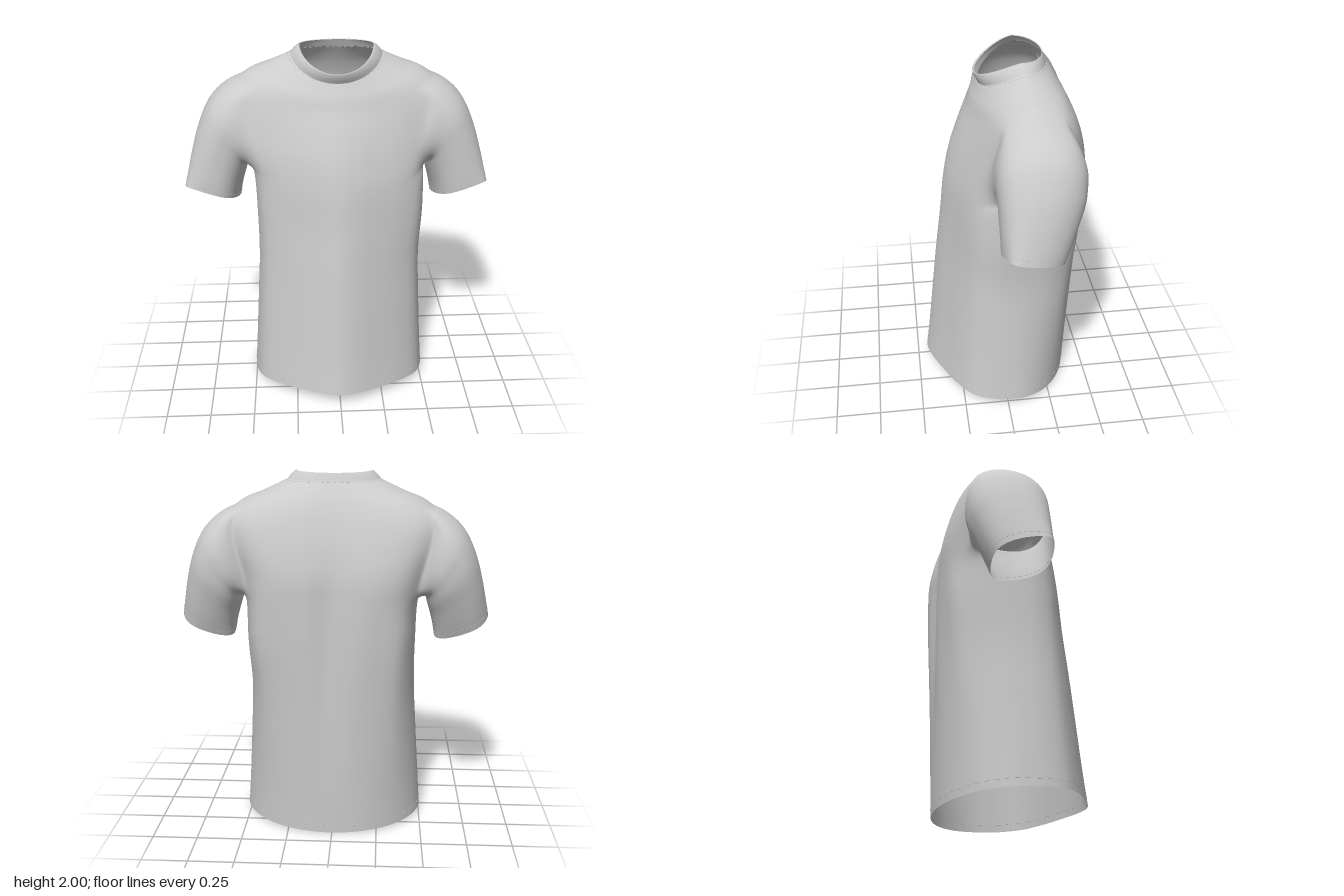
import * as THREE from 'three';
import { mergeGeometries } from 'three/addons/utils/BufferGeometryUtils.js';

const cloth = new THREE.MeshStandardMaterial({ color: 0xcccccc, side: THREE.DoubleSide });
const SIDES = 96, ROWS = 88, SLEEVE_ROWS = 44;
// Armhole: a block of the body grid, from row LOW to row HIGH, REACH columns either side
const LOW = 41, HIGH = 70, REACH = 9;

// Smooth interpolation through a list of key rows, t in 0..1
function sampleKeys(keys, t) {
  const f = t * (keys.length - 1);
  const i = Math.min(Math.floor(f), keys.length - 2);
  const k = (n) => keys[Math.max(0, Math.min(keys.length - 1, n))];
  const s = f - i;
  return keys[i].map((b, c) => {
    const a = k(i - 1)[c], d = k(i + 1)[c], e = k(i + 2)[c];
    return b + 0.5 * s * (d - a + s * (2 * a - 5 * b + 4 * d - e + s * (3 * (b - d) + e - a)));
  });
}

// Row of small dashes following one ring of a surface
function stitches(point, t, count) {
  const dashes = [];
  for (let j = 0; j < count; j += 2) {
    const line = new THREE.LineCurve3(point(t, j), point(t, (j + 1) % count));
    dashes.push(new THREE.TubeGeometry(line, 1, 0.002, 4));
  }
  return mergeGeometries(dashes);
}

// Body outline: peaked front, full sides, broad back with a shallow spine hollow
const half = [[0.2, 0.95], [0.42, 0.84], [0.7, 0.67], [0.9, 0.48], [0.985, 0.24], [1, 0],
  [0.99, -0.3], [0.95, -0.62], [0.83, -0.87], [0.57, -0.99], [0.26, -0.985]];
const outline = new THREE.CatmullRomCurve3(
  [[0, 1], ...half, [0, -0.94], ...half.map(([u, v]) => [-u, v]).reverse()]
    .map(([u, v]) => new THREE.Vector3(u, v, 0)), true);
const outlinePoints = Array.from({ length: SIDES }, (_, j) => outline.getPoint(j / SIDES));

// Key row: halfWidth, xShift, zFront, zSide, zBack, yFront, ySide, yBack,
// then roundness of the front and of the back
function bodyPoint(keys) {
  return (t, j) => {
    const [w, xs, zf, zs, zb, yf, ys, yb, roundFront, roundBack] = sampleKeys(keys, t);
    const a = (j / SIDES) * Math.PI * 2;
    const p = outlinePoints[j];
    const round = p.y > 0 ? roundFront : roundBack;
    const u = THREE.MathUtils.lerp(p.x, Math.sin(a), round);
    const v = THREE.MathUtils.lerp(p.y, Math.cos(a), round);
    const y = ys + Math.pow(Math.abs(v), 1.3) * ((v > 0 ? yf : yb) - ys);
    let z = zs + v * (v > 0 ? zf - zs : zs - zb);
    // soft vertical drape folds in the back
    if (v < 0) z += 0.006 * v * v * Math.cos(u * 11) * Math.exp(-(((y - 1) / 0.45) ** 2));
    return new THREE.Vector3(xs + u * w, y, z);
  };
}

const torsoKeys = [
  [0.512, 0.007, 0.445, -0.03, -0.40, 0.07, 0.03, 0.0, 0, 1],
  [0.497, 0.007, 0.42, -0.03, -0.41, 0.27, 0.25, 0.22, 0, 0.9],
  [0.48, 0.008, 0.39, -0.03, -0.42, 0.55, 0.53, 0.5, 0, 0.7],
  [0.466, 0.01, 0.36, -0.025, -0.43, 0.82, 0.8, 0.8, 0, 0.45],
  [0.472, 0.016, 0.33, -0.02, -0.437, 1.06, 1.06, 1.06, 0, 0.2],
  [0.478, 0.012, 0.305, -0.015, -0.44, 1.28, 1.3, 1.3, 0, 0.05],
  [0.50, 0, 0.27, -0.04, -0.437, 1.44, 1.46, 1.46, 0, 0],
  [0.55, 0, 0.22, -0.09, -0.41, 1.58, 1.61, 1.61, 0, 0],
  [0.575, 0, 0.172, -0.115, -0.37, 1.69, 1.74, 1.74, 0.05, 0.05],
  [0.51, 0, 0.148, -0.125, -0.33, 1.755, 1.84, 1.83, 0.25, 0.25],
  [0.38, 0, 0.125, -0.12, -0.29, 1.8, 1.895, 1.895, 0.6, 0.6],
  [0.25, 0, 0.105, -0.11, -0.25, 1.84, 1.955, 1.95, 1, 1],
];
const collarKeys = [
  [0.252, 0, 0.108, -0.11, -0.252, 1.835, 1.953, 1.947, 1, 1],
  [0.232, 0, 0.124, -0.105, -0.24, 1.865, 1.978, 1.975, 1, 1],
  [0.208, 0, 0.131, -0.10, -0.232, 1.89, 1.998, 1.992, 1, 1],
  [0.2, 0, 0.12, -0.10, -0.228, 1.888, 1.996, 1.99, 1, 1],
];

// Sleeve key row: outer x, y, inner x, y, zFront, zBack, hem slant, forward skew;
// armhole first
const sleeveKeys = [
  [0.54, 1.825, 0.485, 1.345, 0.125, -0.395, 0, 0],
  [0.64, 1.775, 0.50, 1.335, 0.095, -0.385, 0, 0],
  [0.72, 1.67, 0.505, 1.315, 0.083, -0.37, 0, 0],
  [0.775, 1.545, 0.515, 1.28, 0.078, -0.355, 0, 0.01],
  [0.812, 1.42, 0.53, 1.23, 0.075, -0.32, 0.01, 0.02],
  [0.838, 1.31, 0.545, 1.17, 0.073, -0.285, 0.02, 0.035],
  [0.86, 1.215, 0.555, 1.112, 0.07, -0.25, 0.03, 0.05],
];

// Armhole loop as [row, column offset]: over the top, down the front, under, up the back
const armhole = [];
let cell = [HIGH, 0];
for (const [dr, dc, n] of [[0, 1, REACH], [-1, 0, HIGH - LOW], [0, -1, 2 * REACH],
  [1, 0, HIGH - LOW], [0, 1, REACH]]) {
  for (let k = 0; k < n; k++) {
    armhole.push(cell);
    cell = [cell[0] + dr, cell[1] + dc];
  }
}
const LOOP = armhole.length;

// Loop position to angle, so armhole corners fall on the sleeve's diagonals
function loopAngle(k) {
  const stops = [0, REACH, REACH + HIGH - LOW, LOOP - REACH - HIGH + LOW, LOOP - REACH, LOOP];
  const turns = [0, 0.11, 0.39, 0.61, 0.89, 1];
  const i = Math.max(0, stops.findIndex((s) => s > k) - 1);
  return Math.PI * 2 * THREE.MathUtils.mapLinear(k, stops[i], stops[i + 1], turns[i], turns[i + 1]);
}

function sleevePoint(side) {
  const soft = (n) => Math.sign(n) * Math.pow(Math.abs(n), 0.85);
  return (t, k) => {
    const [ox, oy, ix, iy, zf, zb, slant, skew] = sampleKeys(sleeveKeys, t);
    const c = soft(Math.cos(loopAngle(k))), s = soft(Math.sin(loopAngle(k)));
    return new THREE.Vector3(
      side * ((ox + ix) / 2 + (c * (ox - ix)) / 2),
      (oy + iy) / 2 + (c * (oy - iy)) / 2 + slant * s,
      (zf + zb) / 2 + (s * (zf - zb)) / 2 + skew * c * (1 - s * s));
  };
}

// Relax vertices towards their neighbours, each by its own weight
function relax(points, weights, index, passes) {
  const near = points.map(() => new Set());
  for (let i = 0; i < index.length; i += 3) {
    const tri = index.slice(i, i + 3);
    for (const a of tri) for (const b of tri) if (a !== b) near[a].add(b);
  }
  for (let n = 0; n < passes; n++) {
    const old = points.map((p) => p.clone());
    points.forEach((p, i) => {
      if (!weights[i] || !near[i].size) return;
      const mean = new THREE.Vector3();
      near[i].forEach((b) => mean.add(old[b]));
      p.lerp(mean.divideScalar(near[i].size), 0.6 * weights[i]);
    });
  }
}

export function createModel() {
  const shirt = new THREE.Group();
  shirt.name = 'tShirt';
  const add = (name, geometry) => {
    const mesh = new THREE.Mesh(geometry, cloth);
    mesh.name = name;
    shirt.add(mesh);
  };
  const quad = (list, a, b, c, d) => list.push(a, b, c, a, c, d);
  const torso = bodyPoint(torsoKeys);
  const points = [], weights = [];
  const parts = { torso: [], leftSleeve: [], rightSleeve: [] };

  // Body grid, leaving out the armholes
  for (let i = 0; i <= ROWS; i++) {
    for (let j = 0; j < SIDES; j++) {
      points.push(torso(i / ROWS, j));
      const across = Math.min(Math.abs(j - SIDES / 4), Math.abs(j - SIDES * 0.75));
      const dist = Math.hypot(Math.max(0, LOW - i, i - HIGH), Math.max(0, across - REACH));
      weights.push(Math.max(0, 1 - dist / 7));
      const mid = Math.abs(j + 0.5 - (j < SIDES / 2 ? SIDES / 4 : SIDES * 0.75));
      if (i === ROWS || (i >= LOW && i < HIGH && mid < REACH)) continue;
      const a = i * SIDES + j, b = i * SIDES + (j + 1) % SIDES;
      quad(parts.torso, a, b, b + SIDES, a + SIDES);
    }
  }

  // Sleeves grow out of the armhole loops
  for (const [name, side] of [['left', 1], ['right', -1]]) {
    const sleeve = sleevePoint(side);
    const column = side > 0 ? SIDES / 4 : SIDES * 0.75;
    let ring = armhole.map(([r, c]) => r * SIDES + column - side * c);
    const root = ring.map((v) => points[v]);
    for (let i = 1; i <= SLEEVE_ROWS; i++) {
      const t = i / SLEEVE_ROWS;
      const next = ring.map((_, k) => {
        points.push(root[k].clone().lerp(sleeve(t, k), THREE.MathUtils.smoothstep(t, -0.05, 0.3)));
        weights.push(1 - THREE.MathUtils.smoothstep(t, 0.05, 0.5));
        return points.length - 1;
      });
      for (let k = 0; k < LOOP; k++) {
        const m = (k + 1) % LOOP;
        if (side > 0) quad(parts.leftSleeve, ring[k], ring[m], next[m], next[k]);
        else quad(parts.rightSleeve, ring[m], ring[k], next[k], next[m]);
      }
      ring = next;
    }
    add(name + 'CuffStitching', stitches(sleeve, 0.93, LOOP));
  }

  // One smooth skin shared by body and sleeves
  const index = Object.values(parts).flat();
  relax(points, weights, index, 10);
  const skin = new THREE.BufferGeometry().setFromPoints(points);
  skin.setIndex(index);
  skin.computeVertexNormals();
  for (const [name, faces] of Object.entries(parts)) {
    const g = new THREE.BufferGeometry();
    g.setAttribute('position', skin.attributes.position);
    g.setAttribute('normal', skin.attributes.normal);
    g.setIndex(faces);
    add(name, g);
  }

  // Neckband and stitching
  const collar = bodyPoint(collarKeys), band = [], faces = [];
  for (let i = 0; i <= 18; i++) {
    for (let j = 0; j < SIDES; j++) {
      band.push(collar(i / 18, j));
      const a = i * SIDES + j, b = i * SIDES + (j + 1) % SIDES;
      if (i < 18) quad(faces, a, b, b + SIDES, a + SIDES);
    }
  }
  const collarGeometry = new THREE.BufferGeometry().setFromPoints(band);
  collarGeometry.setIndex(faces);
  collarGeometry.computeVertexNormals();
  add('collar', collarGeometry);
  add('hemStitching', stitches(torso, 0.025, SIDES));
  add('neckStitching', stitches(torso, 0.985, SIDES));
  return shirt;
}
